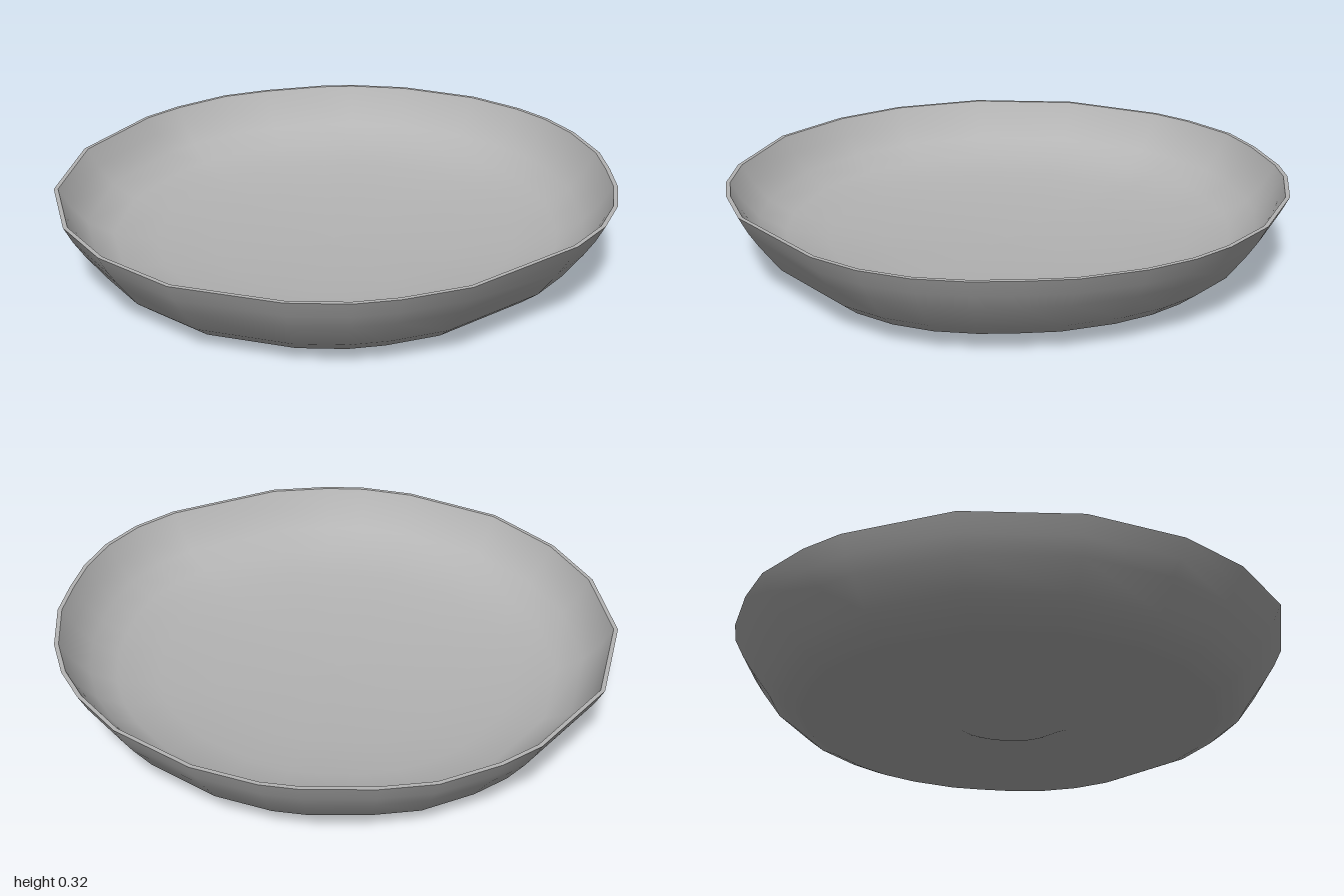
import * as THREE from 'three';

// Uneven hand-made outline of the rim, [x, z], running from +x towards +z
const OUTLINE = [
  [0.99, 0.04], [0.98, 0.2], [0.94, 0.37], [0.86, 0.53], [0.74, 0.67], [0.37, 0.92],
  [0.15, 0.98], [0, 0.995], [-0.2, 0.97], [-0.55, 0.83], [-0.78, 0.61], [-0.92, 0.37],
  [-0.995, 0.03], [-0.93, -0.36], [-0.72, -0.69], [-0.6, -0.8], [-0.41, -0.92], [-0.23, -0.97],
  [0, -1], [0.13, -0.995], [0.35, -0.94], [0.62, -0.79], [0.78, -0.63], [0.87, -0.5],
  [0.94, -0.34], [0.99, -0.12],
];
const TILT = 0.02; // the whole dish leans slightly up towards +x

// Loft scaled copies of the outline through a profile of [scale, height]
function loft(profile) {
  const n = OUTLINE.length, positions = [], index = [];
  for (const [s, y] of profile) {
    for (const [x, z] of OUTLINE) positions.push(x * s, y + TILT * x * s, z * s);
  }
  for (let i = 0; i < profile.length - 1; i++) {
    for (let j = 0; j < n; j++) {
      const k = (j + 1) % n;
      const a = i * n + j, b = a + n, c = (i + 1) * n + k, d = i * n + k;
      if (profile[i + 1][0] > 0) index.push(a, b, c);
      if (profile[i][0] > 0) index.push(a, c, d);
    }
  }
  const geometry = new THREE.BufferGeometry();
  geometry.setAttribute('position', new THREE.Float32BufferAttribute(positions, 3));
  geometry.setIndex(index);
  geometry.computeVertexNormals();
  return geometry;
}

export function createModel() {
  const group = new THREE.Group();
  group.name = 'shallowDish';
  const clay = new THREE.MeshStandardMaterial({ color: 0xb4b4b4 });
  clay.name = 'plain grey';

  const add = (name, profile) => {
    const mesh = new THREE.Mesh(loft(profile), clay);
    mesh.name = name;
    group.add(mesh);
  };

  // Slightly hollow underside with a small raised disc in the middle
  add('underside', [[0, 0.025], [0.21, 0.022], [0.25, 0.038], [0.45, 0.035], [0.62, 0.022], [0.75, 0.015]]);
  // Flaring outer wall
  add('outerWall', [[0.75, 0.015], [0.805, 0.04], [0.865, 0.088], [0.935, 0.185], [0.97, 0.24], [1, 0.3]]);
  // Thin lip
  add('rim', [[1, 0.3], [0.985, 0.3]]);
  // Concave bowl
  add('innerBowl', [[0.985, 0.3], [0.95, 0.235], [0.89, 0.165], [0.8, 0.115], [0.65, 0.083],
    [0.45, 0.063], [0.22, 0.052], [0, 0.05]]);

  return group;
}
